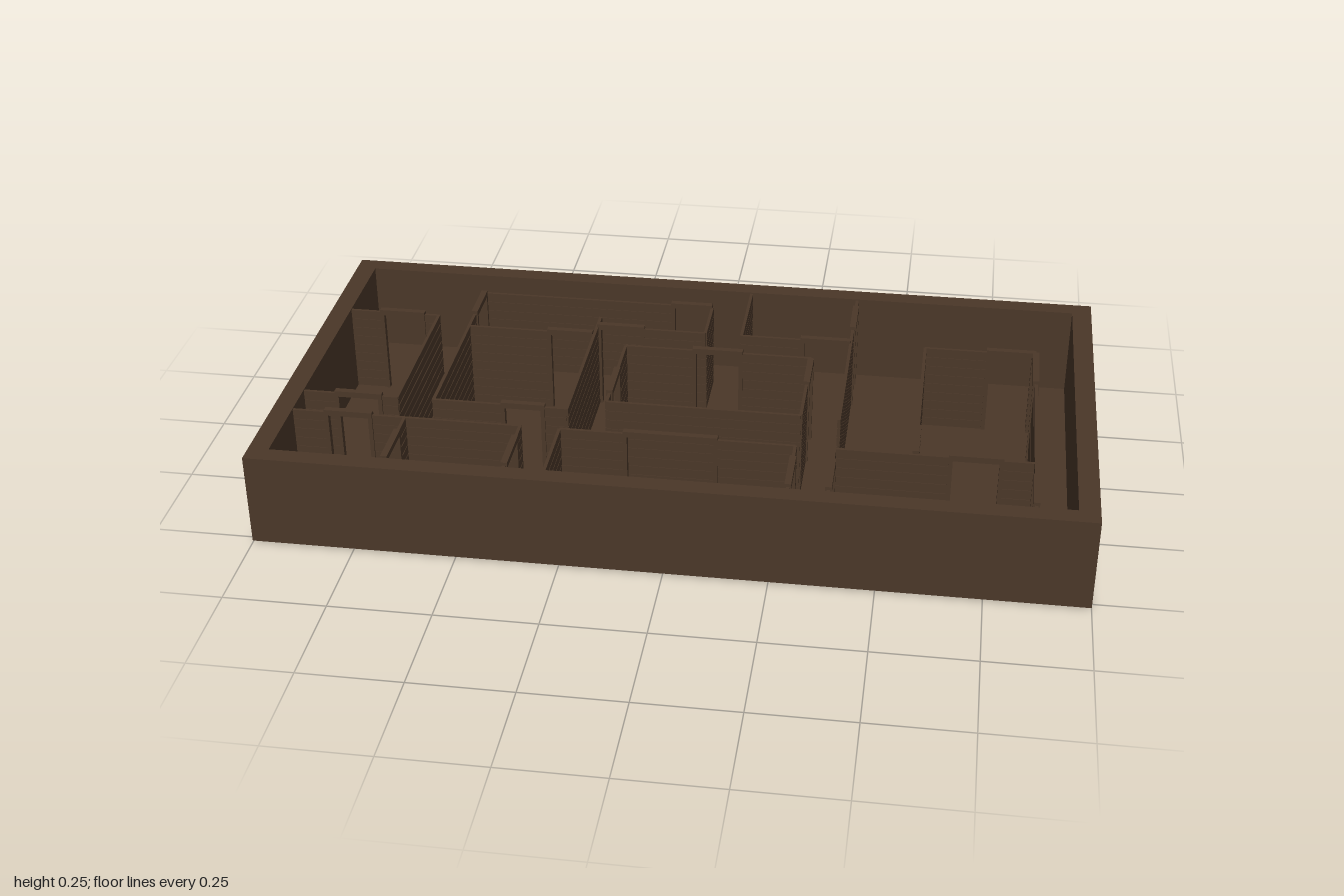
import * as THREE from 'three';

const wood = new THREE.MeshStandardMaterial({ color: 0x4a3728 });
wood.name = 'darkBrown';

const BASE = 0.005, WALL_TOP = 0.237, FRAME_TOP = 0.245;
const THICK = 0.008, PLANKS = 9;

// Inner walls: [direction, fixed coordinate, start, end, door start, door end]
const WALLS = [
  // left room
  ['x', -0.24, -0.95, -0.71, -0.87, -0.75],
  ['x', 0.19, -0.95, -0.71, -0.87, -0.75],
  ['z', -0.713, -0.24, 0.19],
  // middle left rooms
  ['z', -0.62, -0.38, 0.19, -0.38, -0.26],
  ['x', -0.383, -0.62, 0, -0.11, 0],
  ['z', 0, -0.383, -0.24],
  ['x', -0.24, -0.285, 0, -0.285, -0.16],
  ['z', -0.286, -0.29, 0.19],
  ['x', -0.195, -0.62, -0.286, -0.41, -0.29],
  ['x', 0.188, -0.62, -0.286, -0.45, -0.34],
  // central room
  ['x', -0.146, -0.195, 0.286, -0.02, 0.11],
  ['x', 0.14, -0.195, 0.286],
  ['z', -0.195, -0.146, 0.14, -0.02, 0.1],
  ['z', 0.286, -0.146, 0.14, -0.13, -0.01],
  // back room
  ['z', 0.095, -0.475, -0.24],
  ['x', -0.24, 0.095, 0.38, 0.25, 0.38],
  ['z', 0.38, -0.475, 0.15, -0.43, -0.31],
  // right room
  ['z', 0.572, -0.24, 0.28, 0.16, 0.28],
  ['x', -0.24, 0.572, 0.855, 0.73, 0.855],
  ['z', 0.855, -0.24, 0.28, -0.24, -0.09],
  // front rooms
  ['x', 0.282, -0.95, -0.38, -0.87, -0.75],
  ['x', 0.282, -0.286, 0.286, -0.13, 0.1],
  ['x', 0.282, 0.38, 0.855, 0.65, 0.78],
  ['z', -0.67, 0.282, 0.475, 0.35, 0.475],
  ['z', -0.383, 0.282, 0.475, 0.34, 0.465],
  ['z', -0.286, 0.282, 0.475],
  ['z', 0.286, 0.282, 0.475, 0.34, 0.465],
  ['z', 0.38, 0.282, 0.475, 0.34, 0.465],
  ['z', 0.855, 0.282, 0.475, 0.34, 0.465],
];

function box(parent, name, x0, x1, y0, y1, z0, z1) {
  const mesh = new THREE.Mesh(new THREE.BoxGeometry(x1 - x0, y1 - y0, z1 - z0), wood);
  mesh.position.set((x0 + x1) / 2, (y0 + y1) / 2, (z0 + z1) / 2);
  mesh.name = name;
  parent.add(mesh);
}

// Box running along x or z at a fixed coordinate across
function run(parent, name, dir, at, a, b, y0, y1, thick) {
  const h = thick / 2;
  if (dir === 'x') box(parent, name, a, b, y0, y1, at - h, at + h);
  else box(parent, name, at - h, at + h, y0, y1, a, b);
}

// Stacked planks over a thinner core, which leaves fine grooves
function plankPanel(parent, dir, at, a, b) {
  if (b - a < 0.003) return;
  run(parent, 'wallCore', dir, at, a, b, BASE, WALL_TOP - 0.003, THICK * 0.5);
  const step = (WALL_TOP - BASE) / PLANKS;
  for (let i = 0; i < PLANKS; i++) {
    const y = BASE + i * step;
    run(parent, 'plank', dir, at, a, b, y + 0.003, y + step, THICK);
  }
}

// Two posts and a lintel around an open doorway
function doorFrame(parent, dir, at, a, b) {
  const post = 0.01, depth = 0.016;
  run(parent, 'doorPost', dir, at, a, a + post, BASE, FRAME_TOP, depth);
  run(parent, 'doorPost', dir, at, b - post, b, BASE, FRAME_TOP, depth);
  run(parent, 'doorLintel', dir, at, a + post, b - post, FRAME_TOP - 0.015, FRAME_TOP, depth);
}

export function createModel() {
  const model = new THREE.Group();
  model.name = 'floorPlan';

  // Floor slab
  box(model, 'floor', -0.95, 0.95, 0, 0.008, -0.475, 0.475);

  // Thick outer wall as a frame
  const shape = new THREE.Shape();
  shape.moveTo(-1, -0.522).lineTo(1, -0.522).lineTo(1, 0.522).lineTo(-1, 0.522).closePath();
  const hole = new THREE.Path();
  hole.moveTo(-0.95, -0.475).lineTo(-0.95, 0.475).lineTo(0.95, 0.475).lineTo(0.95, -0.475).closePath();
  shape.holes.push(hole);
  const outer = new THREE.Mesh(
    new THREE.ExtrudeGeometry(shape, { depth: 0.235, bevelEnabled: false }).rotateX(-Math.PI / 2), wood);
  outer.position.y = BASE;
  outer.name = 'outerWall';
  model.add(outer);

  // Plank walls with their doorways
  for (const [dir, at, a, b, d0, d1] of WALLS) {
    const wall = new THREE.Group();
    wall.name = 'innerWall';
    if (d0 === undefined) plankPanel(wall, dir, at, a, b);
    else {
      plankPanel(wall, dir, at, a, d0);
      plankPanel(wall, dir, at, d1, b);
      doorFrame(wall, dir, at, d0, d1);
    }
    model.add(wall);
  }
  return model;
}
